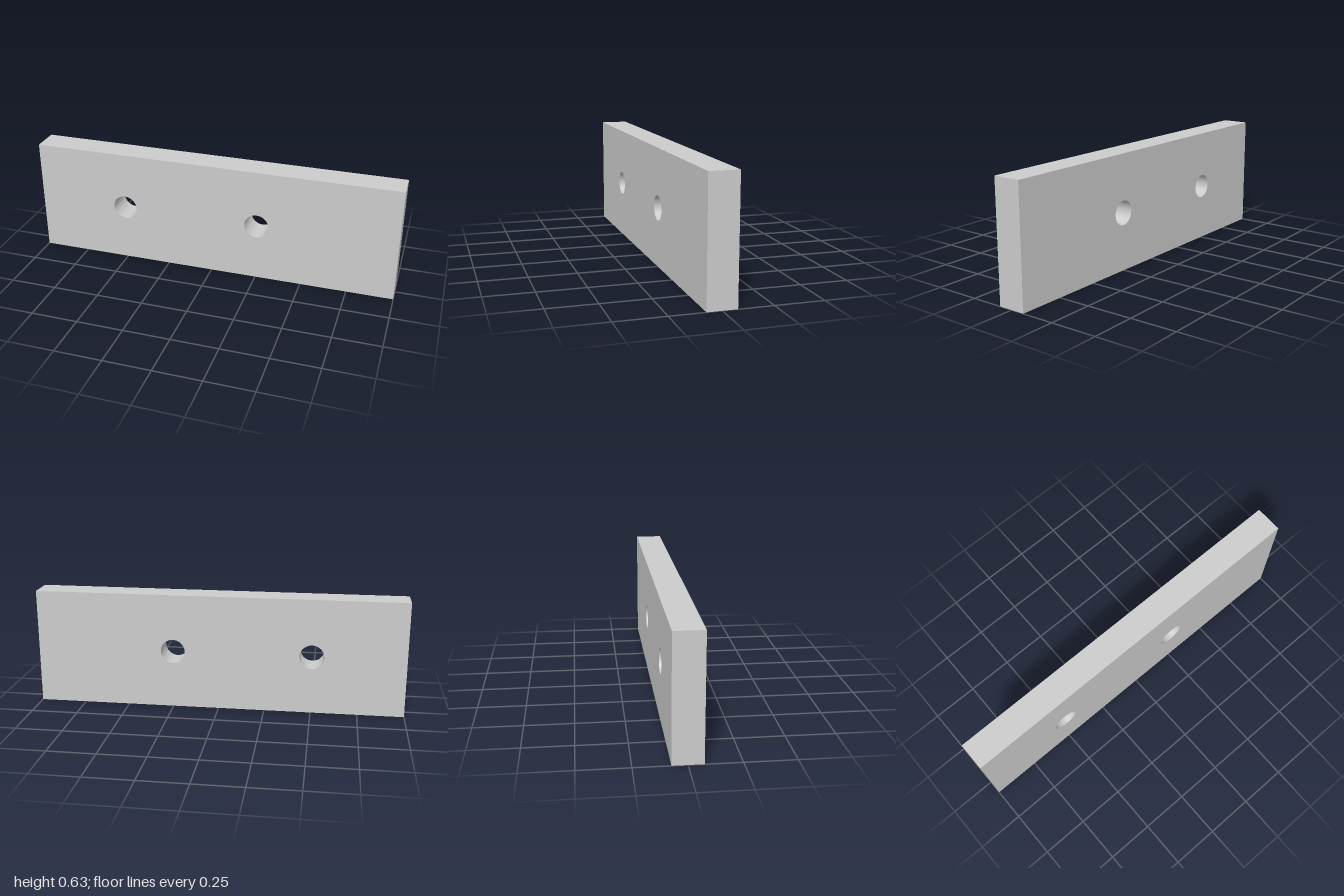
import * as THREE from 'three';
import { toCreasedNormals } from 'three/addons/utils/BufferGeometryUtils.js';

const WIDTH = 2, HEIGHT = 0.627, DEPTH = 0.149;
const HOLE_RADIUS = 0.066;
const HOLE_X = [-0.5, 0.25];

export function createModel() {
  const group = new THREE.Group();
  group.name = 'drilledPlate';

  // Rectangular outline of the plate
  const outline = new THREE.Shape();
  outline.moveTo(-WIDTH / 2, 0);
  outline.lineTo(WIDTH / 2, 0);
  outline.lineTo(WIDTH / 2, HEIGHT);
  outline.lineTo(-WIDTH / 2, HEIGHT);
  outline.closePath();

  // Two round through holes at mid height
  for (const x of HOLE_X) {
    const hole = new THREE.Path();
    hole.absarc(x, HEIGHT / 2, HOLE_RADIUS, 0, Math.PI * 2, true);
    outline.holes.push(hole);
  }

  // Sharp plate edges, smooth hole walls
  const extruded = new THREE.ExtrudeGeometry(outline, {
    depth: DEPTH, bevelEnabled: false, curveSegments: 48,
  });
  extruded.translate(0, 0, -DEPTH / 2);

  const plate = new THREE.Mesh(
    toCreasedNormals(extruded, Math.PI / 6),
    new THREE.MeshStandardMaterial({ color: 0xcccccc }),
  );
  plate.name = 'plate';
  group.add(plate);
  return group;
}
